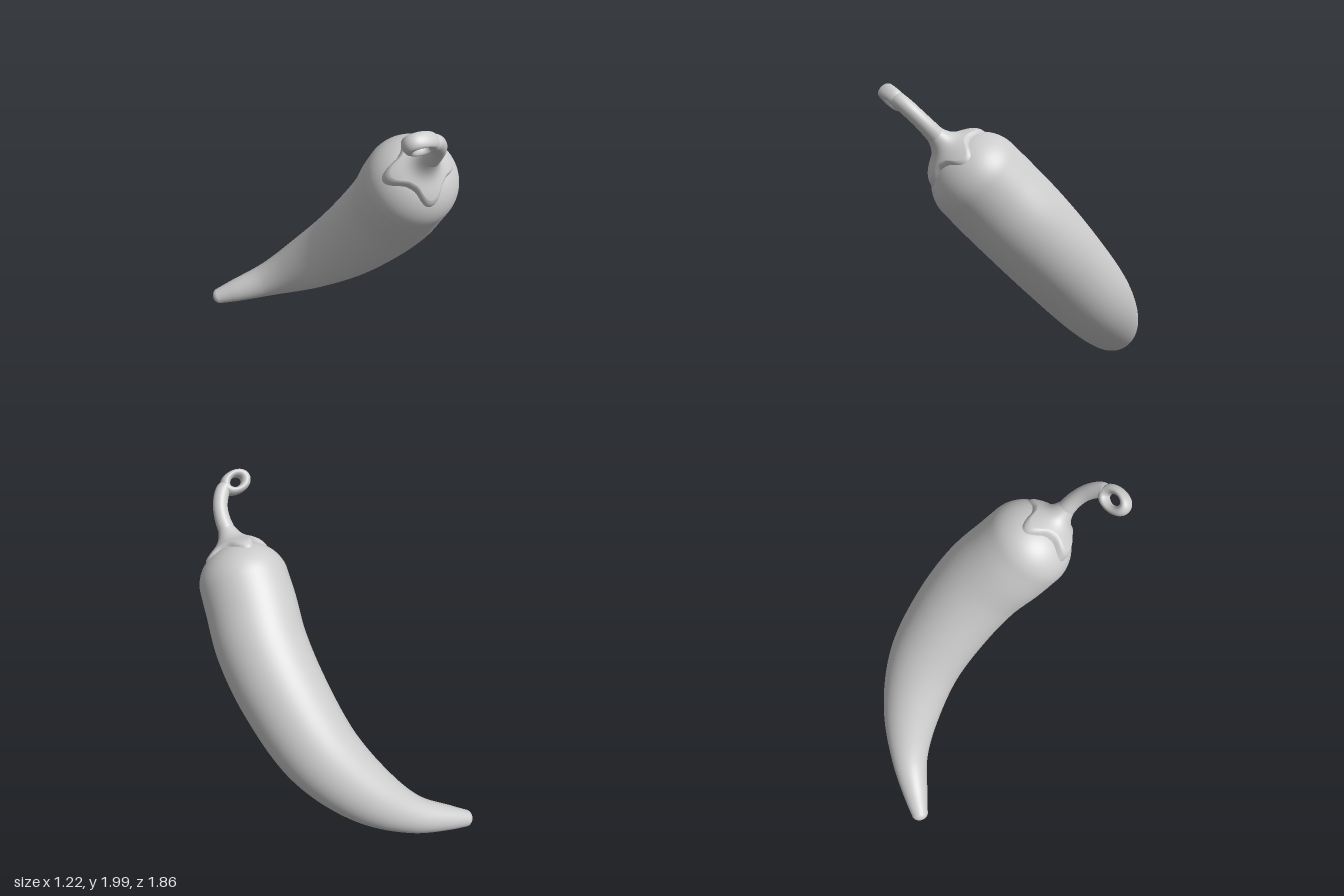
import * as THREE from 'three';

const material = new THREE.MeshStandardMaterial({ color: 0xcccccc });

// Smooth skin over rows of points; each row is a closed ring
function skin(name, rows, closed = false) {
  const n = rows[0].length, index = [];
  const last = closed ? rows.length : rows.length - 1;
  for (let i = 0; i < last; i++) {
    const k = (i + 1) % rows.length;
    for (let j = 0; j < n; j++) {
      const m = (j + 1) % n;
      index.push(i * n + j, k * n + j, i * n + m, i * n + m, k * n + j, k * n + m);
    }
  }
  const geometry = new THREE.BufferGeometry().setFromPoints(rows.flat());
  geometry.setIndex(index);
  geometry.computeVertexNormals();
  const mesh = new THREE.Mesh(geometry, material);
  mesh.name = name;
  return mesh;
}

// Sweep along a flat path of { x, y, a, b }: a = radius in the bend plane, b = across it
function sweep(name, path, sides, closed = false) {
  const n = path.length;
  const rows = path.map((p, i) => {
    const prev = closed ? path[(i + n - 1) % n] : path[Math.max(i - 1, 0)];
    const next = closed ? path[(i + 1) % n] : path[Math.min(i + 1, n - 1)];
    const t = new THREE.Vector2(next.x - prev.x, next.y - prev.y).normalize();
    return Array.from({ length: sides }, (_, j) => {
      const q = j / sides * Math.PI * 2, c = Math.cos(q) * p.a;
      return new THREE.Vector3(p.x + t.y * c, p.y - t.x * c, Math.sin(q) * p.b);
    });
  });
  return skin(name, rows, closed);
}

// Smooth curve through [x, y, radius] triples
const spline = (points, count) =>
  new THREE.CatmullRomCurve3(points.map(p => new THREE.Vector3(...p))).getPoints(count)
    .map(p => ({ x: p.x, y: p.y, a: p.z, b: p.z }));

// Rounded end continuing from point p along (dx, dy)
function cap(p, dx, dy, steps) {
  return Array.from({ length: steps }, (_, i) => {
    const q = (i + 1) / steps * Math.PI / 2, r = Math.max(p.a * Math.cos(q), 1e-4);
    return { x: p.x + dx * Math.sin(q), y: p.y + dy * Math.sin(q), a: r, b: r };
  });
}

// Curved tapering fruit with a domed head
function makeBody() {
  const main = spline([
    [-0.57, -1.264, 0.057], [-0.465, -1.216, 0.08], [-0.22, -1.086, 0.125],
    [0.015, -0.854, 0.193], [0.21, -0.512, 0.247], [0.3, -0.096, 0.274],
    [0.318, 0.25, 0.284], [0.287, 0.5, 0.284], [0.272, 0.65, 0.28],
  ], 90);
  const tip = cap(main[0], -0.045, -0.02, 10).reverse();
  const head = cap(main[main.length - 1], -0.02, 0.25, 20);
  return sweep('fruitBody', [...tip, ...main, ...head], 64);
}

// Four-pointed cap lying on the dome and rising into the stem
function makeCalyx() {
  const dome = r => 0.65 + 0.25 * Math.sqrt(1 - (r / 0.28) ** 2);
  const rows = [], steps = 28, sides = 96, inner = 0.042;
  for (let i = -1; i <= steps; i++) {
    const u = Math.max(i, 0) / steps;
    const row = [];
    for (let j = 0; j < sides; j++) {
      const q = j / sides * Math.PI * 2;
      const point = (0.5 + 0.5 * Math.cos(4 * q)) ** 1.5;
      const r = THREE.MathUtils.lerp(0.145 + 0.07 * point, inner, u * u * 0.3 + u * 0.7);
      const lift = i < 0 ? -0.035 : 0.008 + 0.022 * Math.min(1, Math.sqrt(u * 7));
      row.push(new THREE.Vector3(0.253 + r * Math.cos(q),
        dome(r) + lift + 0.12 * Math.exp((inner - r) / 0.027), r * Math.sin(q)));
    }
    rows.push(row);
  }
  return skin('calyx', rows);
}

// Bent stem narrowing into the eyelet
function makeStem() {
  const path = spline([
    [0.252, 0.9, 0.06], [0.254, 1.0, 0.053], [0.252, 1.08, 0.048],
    [0.235, 1.155, 0.046], [0.2, 1.222, 0.046], [0.165, 1.262, 0.042], [0.145, 1.274, 0.028],
  ], 40);
  path.forEach((p, i) => { if (i > 30) p.b = 0.045; });
  path.push({ ...path[40], x: path[40].x - 0.003, a: 1e-4, b: 1e-4 });
  return sweep('stem', path, 32);
}

// Flattened loop with a hole at the stem's end
function makeEyelet() {
  const path = Array.from({ length: 56 }, (_, i) => {
    const q = i / 56 * Math.PI * 2, c = Math.cos(q), s = Math.sin(q);
    return { x: 0.077 + 0.075 * c, y: 1.28 + 0.054 * s - 0.012 * c, a: 0.022 + 0.01 * c * c, b: 0.045 };
  });
  return sweep('stemEyelet', path, 24, true);
}

export function createModel() {
  const group = new THREE.Group();
  group.name = 'chiliPepper';
  const pepper = new THREE.Group();
  pepper.name = 'tiltedPepper';
  pepper.add(makeBody(), makeCalyx(), makeStem(), makeEyelet());
  // Lean the whole fruit forward
  pepper.rotation.x = 0.75;
  pepper.position.y = 0.99;
  group.add(pepper);
  return group;
}
